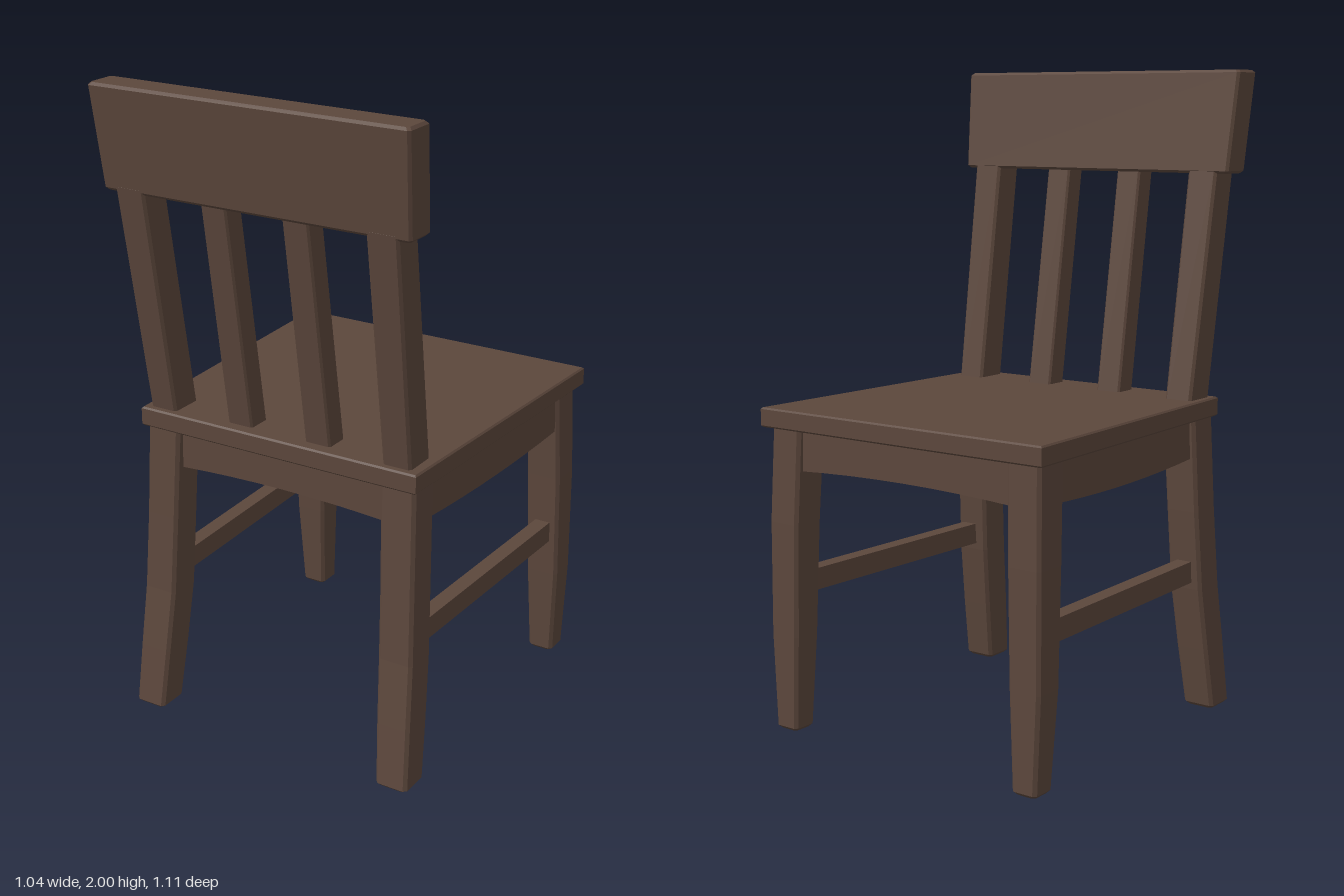
import * as THREE from 'three';

const wood = new THREE.MeshStandardMaterial({ color: 0x5c473c });
wood.name = 'dark brown wood';

// Chamfered rectangular bar lofted upward through sections [y, x0, x1, z0, z1]
function loft(sections, c) {
  const first = sections[0], last = sections[sections.length - 1];
  const rings = [];
  const addRing = ([y, x0, x1, z0, z1], inset) => {
    const a = x0 + inset, b = x1 - inset, f = z1 - inset, r = z0 + inset;
    rings.push([
      [a + c, y, f], [b - c, y, f], [b, y, f - c], [b, y, r + c],
      [b - c, y, r], [a + c, y, r], [a, y, r + c], [a, y, f - c],
    ]);
  };
  addRing(first, c);
  addRing([first[0] + c, ...first.slice(1)], 0);
  sections.slice(1, -1).forEach((s) => addRing(s, 0));
  addRing([last[0] - c, ...last.slice(1)], 0);
  addRing(last, c);

  const pos = [];
  const tri = (p, q, r) => pos.push(...p, ...q, ...r);
  for (let i = 0; i < rings.length - 1; i++) {
    for (let k = 0; k < 8; k++) {
      const n = (k + 1) % 8, lo = rings[i], hi = rings[i + 1];
      tri(lo[k], lo[n], hi[n]);
      tri(lo[k], hi[n], hi[k]);
    }
  }
  const bottom = rings[0], top = rings[rings.length - 1];
  for (let k = 1; k < 7; k++) {
    tri(top[0], top[k], top[k + 1]);
    tri(bottom[0], bottom[k + 1], bottom[k]);
  }
  const g = new THREE.BufferGeometry();
  g.setAttribute('position', new THREE.Float32BufferAttribute(pos, 3));
  g.computeVertexNormals();
  return g;
}

// Mirror sections to the other side and slide them by dx
const place = (sections, side, dx = 0) => sections.map(([y, x0, x1, z0, z1]) =>
  (side > 0 ? [y, x0 + dx, x1 + dx, z0, z1] : [y, -x1 + dx, -x0 + dx, z0, z1]));

export function createModel() {
  const chair = new THREE.Group();
  chair.name = 'chair';
  const add = (name, geometry) => {
    const mesh = new THREE.Mesh(geometry, wood);
    mesh.name = name;
    chair.add(mesh);
    return mesh;
  };

  // Board with a curved lower edge between two floor-plan points (x, z)
  const apron = (name, a, b, thickness, endY, midY) => {
    const dx = b[0] - a[0], dz = b[1] - a[1], h = Math.hypot(dx, dz) / 2;
    const shape = new THREE.Shape();
    shape.moveTo(-h, 0.945);
    shape.lineTo(-h, endY);
    shape.quadraticCurveTo(0, 2 * midY - endY, h, endY);
    shape.lineTo(h, 0.945);
    const g = new THREE.ExtrudeGeometry(shape, { depth: thickness, bevelEnabled: false, curveSegments: 8 });
    g.translate(0, 0, -thickness / 2);
    const mesh = add(name, g);
    mesh.position.set((a[0] + b[0]) / 2, 0, (a[1] + b[1]) / 2);
    mesh.rotation.y = -Math.atan2(dz, dx);
  };

  // Seat board, tapering toward the backrest
  const seat = new THREE.Shape();
  seat.moveTo(-0.515, 0.55);
  seat.lineTo(-0.47, -0.437);
  seat.lineTo(0.47, -0.437);
  seat.lineTo(0.515, 0.55);
  seat.closePath();
  const seatGeometry = new THREE.ExtrudeGeometry(seat, {
    depth: 0.05, bevelThickness: 0.005, bevelSize: 0.005, bevelSegments: 1,
  });
  seatGeometry.rotateX(-Math.PI / 2);
  seatGeometry.translate(0, 0.945, 0);
  add('seat', seatGeometry);

  const frontLeg = [
    [0, 0.39, 0.495, 0.4, 0.505],
    [0.2, 0.378, 0.488, 0.37, 0.482],
    [0.4, 0.367, 0.48, 0.342, 0.456],
    [0.65, 0.36, 0.472, 0.325, 0.438],
    [0.95, 0.35, 0.465, 0.31, 0.422],
  ];
  const rearLeg = [
    [0, 0.41, 0.494, -0.545, -0.462],
    [0.3, 0.4, 0.507, -0.546, -0.445],
    [0.65, 0.393, 0.506, -0.544, -0.432],
    [0.95, 0.385, 0.498, -0.532, -0.415],
  ];
  const post = [
    [0.98, 0.358, 0.45, 0.308, 0.418],
    [1.71, 0.363, 0.463, 0.418, 0.523],
  ];
  const slat = [
    [0.98, 0.092, 0.177, 0.322, 0.4],
    [1.71, 0.092, 0.177, 0.432, 0.508],
  ];

  for (const side of [1, -1]) {
    const label = side > 0 ? 'left' : 'right';
    add(label + 'FrontLeg', loft(place(frontLeg, side, -0.004), 0.01));
    add(label + 'RearLeg', loft(place(rearLeg, side), 0.01));
    add(label + 'BackPost', loft(place(post, side, -0.005), 0.008));
    add(label + 'BackSlat', loft(place(slat, side, -0.007), 0.006));
    apron(label + 'Apron', [side * 0.43, 0.33], [side * 0.467, -0.43], 0.045, 0.82, 0.808);

    // Side stretcher joining the front and rear legs
    const a = new THREE.Vector3(side * 0.425, 0.455, 0.38);
    const b = new THREE.Vector3(side * 0.455, 0.455, -0.48);
    const bar = add(label + 'Stretcher', new THREE.BoxGeometry(0.05, 0.068, a.distanceTo(b)));
    bar.position.copy(a).add(b).multiplyScalar(0.5);
    bar.lookAt(b);
  }

  apron('frontApron', [-0.37, 0.375], [0.37, 0.375], 0.05, 0.812, 0.826);
  apron('rearApron', [-0.41, -0.49], [0.41, -0.49], 0.05, 0.812, 0.826);

  // Broad leaning top rail
  add('topRail', loft([
    [1.688, -0.508, 0.496, 0.416, 0.522],
    [2, -0.522, 0.508, 0.45, 0.557],
  ], 0.008));

  return chair;
}
